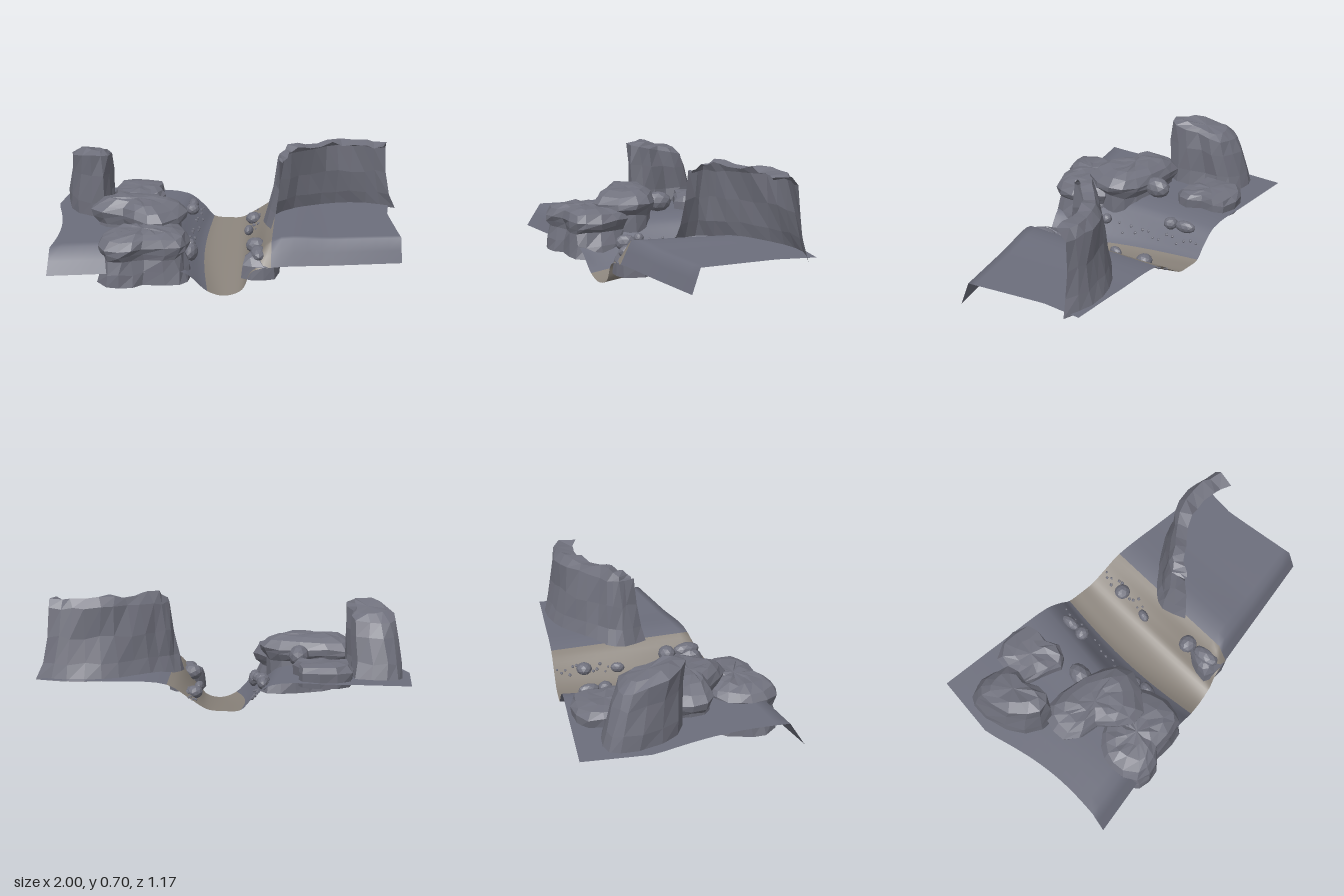
import * as THREE from 'three';

const ROCK = 0x70717d, EARTH = 0x6c6e7c, BED = 0x8a837b;

// small seeded noise in -1..1
let seed = 7;
const noise = () => {
  seed = (seed * 16807) % 2147483647;
  return (seed / 2147483647) * 2 - 1;
};
const lerp = THREE.MathUtils.lerp;

function mesh(name, geometry, color, flat = true) {
  const material = new THREE.MeshStandardMaterial({ color, flatShading: flat, side: THREE.DoubleSide });
  const m = new THREE.Mesh(geometry, material);
  m.name = name;
  return m;
}

// skin a list of equally long point rows; closed rows get a top cap
function loft(rows, closed) {
  const n = rows[0].length, pos = [], idx = [];
  rows.forEach(r => r.forEach(p => pos.push(p.x, p.y, p.z)));
  for (let i = 0; i < rows.length - 1; i++) {
    for (let j = 0; j < (closed ? n : n - 1); j++) {
      const k = (j + 1) % n, a = i * n + j, b = i * n + k;
      idx.push(a, b, b + n, a, b + n, a + n);
    }
  }
  if (closed) {
    const mid = new THREE.Vector3(), c = pos.length / 3, first = c - n;
    rows.at(-1).forEach(p => mid.addScaledVector(p, 1 / n));
    pos.push(mid.x, mid.y, mid.z);
    for (let j = 0; j < n; j++) idx.push(first + j, first + (j + 1) % n, c);
  }
  const g = new THREE.BufferGeometry();
  g.setAttribute('position', new THREE.Float32BufferAttribute(pos, 3));
  g.setIndex(idx);
  g.computeVertexNormals();
  return g;
}

// boulder, open below: plan outline [x, z] stacked in levels [y, scale, dx, dz, tilt towards +z]
function boulder(name, outline, levels, jitter = 0.008) {
  const curve = new THREE.CatmullRomCurve3(outline.map(([x, z]) => new THREE.Vector3(x, 0, z)), true);
  const plan = curve.getPoints(Math.round(outline.length * 1.5)).slice(0, -1);
  const c = new THREE.Vector3();
  plan.forEach(p => c.addScaledVector(p, 1 / plan.length));
  const rows = levels.map(([y, s, dx = 0, dz = 0, tilt = 0], i) => plan.map(p => new THREE.Vector3(
    c.x + (p.x - c.x) * s + dx + noise() * jitter,
    y + (p.z - c.z) * s * tilt + (i ? noise() * jitter : 0),
    c.z + (p.z - c.z) * s + dz + noise() * jitter)));
  return mesh(name, loft(rows, true), ROCK);
}

// valley cross-section: [back x, back y, front x, front y, has front lip]
const STATIONS = [
  [-1, 0.28, -0.84, 0.28, 1], [-0.62, 0.28, -0.55, 0.28, 1], [-0.3, 0.27, -0.3, 0.25, 1],
  [-0.2, 0.2, -0.14, 0.14, 0], [-0.14, 0.137, -0.02, 0.03, 0], [-0.05, 0.13, 0.07, 0, 0],
  [0.03, 0.137, 0.16, 0.03, 0], [0.12, 0.19, 0.21, 0.13, 0], [0.24, 0.26, 0.31, 0.275, 1],
  [0.56, 0.27, 0.64, 0.28, 1], [0.9, 0.27, 1, 0.28, 1],
];
const LAST = STATIONS.length - 1;

function valleyRow(v) {
  const edge = Math.max(0, (v - 0.3) / 0.7);
  const drop = Math.max(0, (v - 0.93) / 0.07);
  return new THREE.CatmullRomCurve3(STATIONS.map(([xb, yb, xf, yf, lip], i) => {
    const side = i === 0 || i === LAST;
    // the left edge is pinched in and the river bows outwards halfway along
    let bow = 0;
    if (i === 0) bow = 0.05 * Math.sin(Math.PI * edge);
    else if (i > 2 && i < 6) bow = -0.035 * Math.sin(Math.PI * v);
    const x = lerp(xb, xf, side ? edge : v) + bow;
    const z = lerp(-0.59, 0.355 - 0.268 * x, v);
    return new THREE.Vector3(x, lip ? lerp(lerp(yb, yf, v), 0.15, drop) : lerp(yb, yf, v), z);
  }));
}

function groundStrip(name, from, to, color) {
  const rows = [1, 0.965];
  for (let i = 16; i >= 0; i--) rows.push(0.93 * i / 16);
  const steps = (to - from) * 5;
  return mesh(name, loft(rows.map(v => {
    const curve = valleyRow(v);
    return Array.from({ length: steps + 1 }, (_, j) => curve.getPoint((from + j / 5) / LAST));
  }), false), color, false);
}

// thin curved cliff leaning inwards, with a ragged rim folded over the top
function cliff() {
  const base = [[0.94, -0.53], [0.75, -0.575], [0.56, -0.53], [0.39, -0.41], [0.26, -0.28], [0.21, -0.18], [0.27, -0.04]];
  const shoulder = [[0.87, -0.49], [0.74, -0.51], [0.58, -0.47], [0.44, -0.37], [0.33, -0.26], [0.285, -0.19], [0.31, -0.11]];
  const rim = [[0.865, -0.365], [0.75, -0.395], [0.62, -0.37], [0.49, -0.29], [0.4, -0.22], [0.35, -0.16], [0.33, -0.12]];
  const spread = pts => new THREE.CatmullRomCurve3(pts.map(([x, z]) => new THREE.Vector3(x, 0, z))).getPoints(13);
  const [B, S, R] = [base, shoulder, rim].map(spread);
  const levels = [[B, S, 0, 0.26], [B, S, 0.4, 0.35], [B, S, 0.75, 0.48],
    [B, S, 1, 0.63], [S, R, 0.3, 0.665], [S, R, 1, 0.66]];
  const rows = levels.map(([a, b, t, y], i) => a.map((p, j) => {
    const q = p.clone().lerp(b[j], t), k = i ? 0.01 : 0;
    const arch = i > 3 ? 0.02 * Math.sin(Math.PI * j / 13) + noise() * 0.012 - (j > 11 ? 0.03 : 0) : 0;
    return q.set(q.x + noise() * k, y + arch + noise() * k, q.z + noise() * k);
  }));
  return mesh('cliffWall', loft(rows, false), ROCK);
}

function stone(name, x, y, z, sx, sy, sz) {
  const m = mesh(name, new THREE.IcosahedronGeometry(1, 1), ROCK);
  m.position.set(x, y, z);
  m.scale.set(sx, sy, sz);
  m.rotation.y = noise() * 0.3;
  return m;
}

export function createModel() {
  const g = new THREE.Group();
  g.name = 'rockyValley';

  // ground and river bed
  g.add(groundStrip('leftPlateau', 0, 4, EARTH), groundStrip('riverBed', 4, 8, BED),
    groundStrip('rightPlateau', 8, LAST, EARTH));

  g.add(cliff());

  // tall pillar and the low block beside it
  g.add(boulder('pillar',
    [[-0.68, -0.04], [-0.65, -0.15], [-0.7, -0.28], [-0.7, -0.42], [-0.82, -0.47], [-0.93, -0.45], [-0.97, -0.37], [-0.92, -0.18], [-0.8, -0.05]],
    [[0.26, 1], [0.36, 0.94, 0, 0.015], [0.5, 0.86, 0.015, 0.035, 0.1], [0.6, 0.79, 0.02, 0.055, 0.25], [0.63, 0.55, 0.02, 0.05, 0.25]]));
  g.add(boulder('lowBlock',
    [[-0.46, -0.24], [-0.39, -0.32], [-0.43, -0.42], [-0.43, -0.54], [-0.56, -0.57], [-0.69, -0.52], [-0.7, -0.4], [-0.68, -0.3], [-0.57, -0.28]],
    [[0.25, 0.96], [0.33, 1], [0.355, 0.88], [0.365, 0.5]]));

  // overhanging boulders by the river
  g.add(boulder('upperBoulder',
    [[-0.72, 0.02], [-0.69, 0.13], [-0.53, 0.15], [-0.4, 0.27], [-0.28, 0.26], [-0.19, 0.1], [-0.21, -0.03], [-0.34, -0.09], [-0.56, -0.12], [-0.7, -0.08]],
    [[0.2, 0.86], [0.3, 0.88], [0.335, 0.97], [0.365, 1], [0.405, 0.84], [0.432, 0.6], [0.438, 0.3]]));
  g.add(boulder('lowerBoulder',
    [[-0.54, 0.52], [-0.43, 0.52], [-0.35, 0.45], [-0.18, 0.43], [-0.13, 0.36], [-0.14, 0.22], [-0.22, 0.1], [-0.34, 0.1], [-0.46, 0.15], [-0.55, 0.22], [-0.6, 0.31], [-0.61, 0.4]],
    [[0.08, 1], [0.15, 0.96], [0.22, 0.88], [0.25, 0.97], [0.285, 1], [0.325, 0.88], [0.35, 0.62], [0.355, 0.3]]));
  g.add(stone('boulderKnob', -0.41, 0.34, -0.13, 0.055, 0.06, 0.08));

  // rock poking through the front of the right bank
  g.add(boulder('bankRock', [[0.15, 0.27], [0.24, 0.29], [0.33, 0.26], [0.33, 0.1], [0.2, 0.08], [0.16, 0.17]],
    [[0.08, 1], [0.15, 0.97], [0.19, 0.6, -0.02], [0.21, 0.35, -0.02]], 0.004));

  // loose stones on both banks
  [
    [-0.24, 0.25, -0.44, 0.03, 0.035, 0.06], [-0.23, 0.25, -0.35, 0.04, 0.035, 0.04],
    [-0.15, 0.16, 0.13, 0.035, 0.05, 0.06], [-0.17, 0.18, 0.05, 0.03, 0.03, 0.03],
    [0.12, 0.19, -0.42, 0.045, 0.035, 0.045], [0.12, 0.18, -0.23, 0.025, 0.03, 0.04],
    [0.2, 0.2, 0.07, 0.055, 0.045, 0.05], [0.23, 0.2, 0.19, 0.045, 0.04, 0.08],
  ].forEach(s => g.add(stone('bankStone', ...s)));

  // pebble trails following the banks
  for (let i = 0; i < 14; i++) {
    [[3.2, 0.05 + i * 0.04], [6.95, 0.02 + i * 0.025]].forEach(([s, v]) => {
      const p = valleyRow(v).getPoint((s + noise() * 0.25) / LAST), r = 0.007 + Math.abs(noise()) * 0.005;
      const pebble = mesh('pebble', new THREE.IcosahedronGeometry(r, 0), ROCK);
      pebble.position.copy(p);
      g.add(pebble);
    });
  }
  return g;
}
